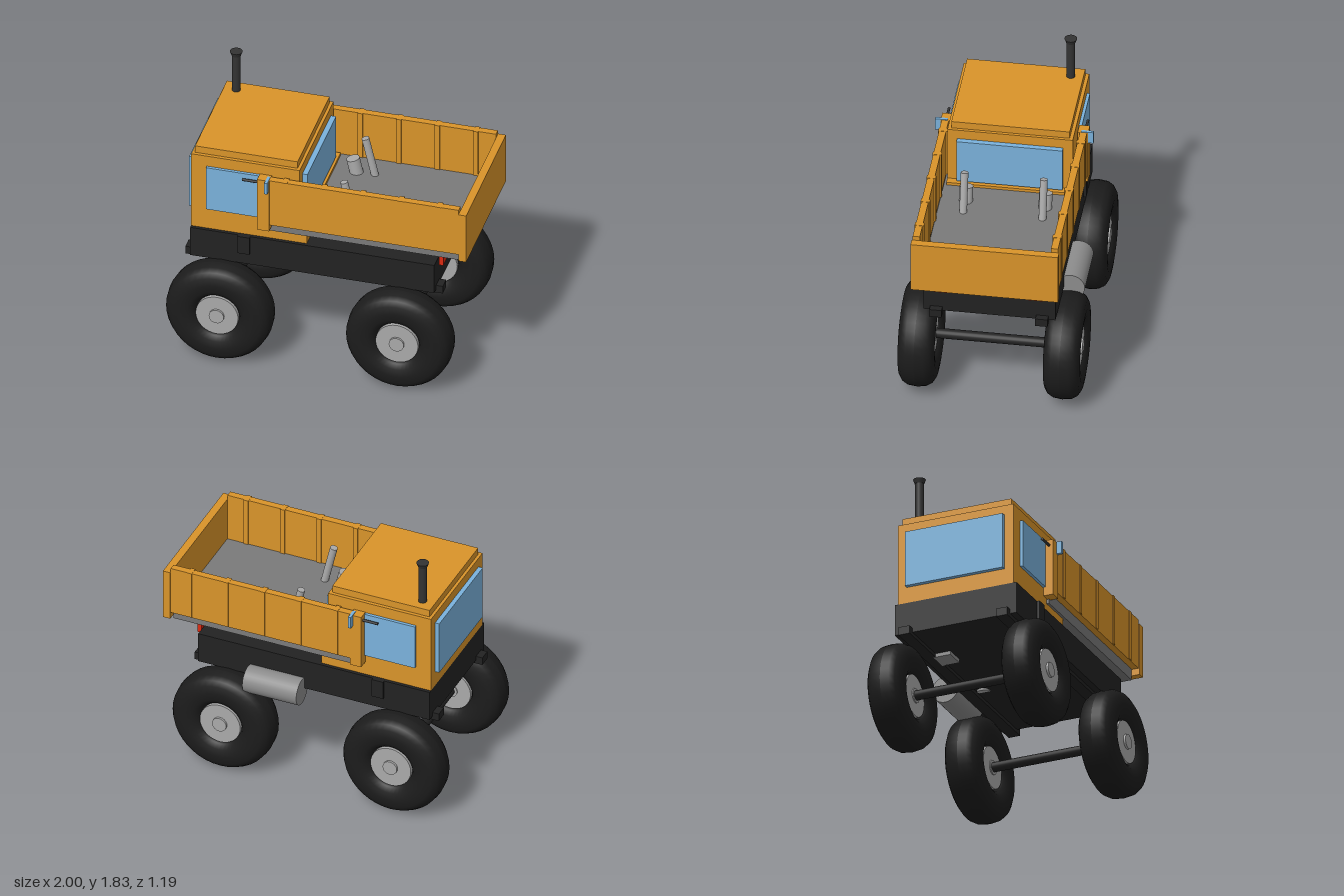
import * as THREE from 'three';

const mat = (color) => new THREE.MeshStandardMaterial({ color });
const orange = mat(0xd9942a), black = mat(0x222222), glass = mat(0x7ab2dc), red = mat(0xdd2a10);
const steel = mat(0xaaaaaa), floorGrey = mat(0x7a7a7a), tankGrey = mat(0x8c8c8c), pipe = mat(0x333333);
const tyreBlack = mat(0x1c1c1c);

export function createModel() {
  const model = new THREE.Group();
  model.name = 'dumpTruck';

  const add = (name, geometry, material) => {
    const mesh = new THREE.Mesh(geometry, material);
    mesh.name = name;
    model.add(mesh);
    return mesh;
  };
  // Box given by its limits on each axis
  const box = (name, material, x0, x1, y0, y1, z0, z1) => {
    const mesh = add(name, new THREE.BoxGeometry(x1 - x0, y1 - y0, z1 - z0), material);
    mesh.position.set((x0 + x1) / 2, (y0 + y1) / 2, (z0 + z1) / 2);
    return mesh;
  };
  // The same box on both sides of the truck
  const pair = (name, material, x0, x1, y0, y1, z0, z1) => {
    box(name, material, x0, x1, y0, y1, z0, z1);
    box(name, material, x0, x1, y0, y1, -z1, -z0);
  };
  // Cylinder running between two points
  const rod = (name, material, a, b, r, sides = 24, rEnd = r) => {
    const from = new THREE.Vector3(...a), to = new THREE.Vector3(...b);
    const axis = to.clone().sub(from);
    const mesh = add(name, new THREE.CylinderGeometry(rEnd, r, axis.length(), sides), material);
    mesh.position.copy(from).add(to).multiplyScalar(0.5);
    mesh.quaternion.setFromUnitVectors(new THREE.Vector3(0, 1, 0), axis.normalize());
    return mesh;
  };

  // Chassis, rails and side brackets
  box('chassis', black, -0.86, 0.77, 0.705, 0.92, -0.43, 0.43);
  pair('chassisRail', black, -0.905, 0.815, 0.68, 0.735, 0.305, 0.385);
  pair('sideBracket', black, -0.54, -0.46, 0.79, 0.92, 0.42, 0.448);
  pair('underPlate', tankGrey, -0.5, -0.36, 0.68, 0.71, 0.2, 0.32);
  pair('tailLight', red, 0.78, 0.81, 0.877, 0.96, 0.25, 0.355);

  // Cab
  box('cabLower', orange, -0.86, -0.087, 0.92, 1.09, -0.408, 0.408);
  box('cabUpper', orange, -0.86, -0.135, 1.09, 1.48, -0.408, 0.408);
  box('roof', orange, -0.84, -0.155, 1.48, 1.53, -0.385, 0.385);
  box('windshield', glass, -0.89, -0.86, 1.03, 1.413, -0.345, 0.345);
  box('rearWindow', glass, -0.135, -0.1, 1.1, 1.413, -0.345, 0.345);
  pair('sideWindow', glass, -0.755, -0.39, 1.08, 1.403, 0.4, 0.428);

  // Exhaust stack with flared tip
  rod('exhaust', pipe, [-0.755, 1.5, -0.303], [-0.755, 1.8, -0.303], 0.028);
  rod('exhaustTip', pipe, [-0.755, 1.8, -0.303], [-0.755, 1.83, -0.303], 0.03, 24, 0.041);

  // Dump bed
  box('bedFloor', floorGrey, -0.34, 0.945, 0.99, 1.07, -0.425, 0.425);
  pair('bedSide', orange, -0.34, 0.945, 1.065, 1.41, 0.427, 0.473);
  for (let i = 0; i < 5; i++) {
    const x = -0.217 + i * 0.257;
    pair('bedRib', orange, x - 0.016, x + 0.016, 1.07, 1.412, 0.418, 0.478);
  }
  box('tailgate', orange, 0.945, 0.997, 1.02, 1.38, -0.48, 0.48);
  pair('bedFrontPost', orange, -0.4, -0.32, 1.02, 1.41, 0.412, 0.48);

  for (const s of [-1, 1]) {
    // Mirrors
    box('mirror', glass, -0.342, -0.322, 1.33, 1.415, s * 0.475 - 0.04, s * 0.475 + 0.04);
    rod('mirrorArm', pipe, [-0.505, 1.372, s * 0.452], [-0.34, 1.372, s * 0.452], 0.009, 12);

    // Slanted lifting rams passing through the bed floor
    const z = s * 0.258;
    rod('ramCylinder', steel, [0.145, 0.7, z], [0.037, 1.17, z], 0.044);
    rod('ramRod', steel, [0.265, 0.72, z], [0.12, 1.34, z], 0.025, 16);
  }

  // Fuel tank on the right-hand side
  rod('fuelTank', tankGrey, [0.02, 0.706, -0.474], [0.4, 0.706, -0.474], 0.092, 32);

  // Wheels: rounded tyre section revolved about the axle
  const section = [];
  for (let i = 0; i <= 16; i++) {
    const a = -i / 16 * Math.PI * 2;
    const c = Math.cos(a), n = Math.sin(a);
    section.push(new THREE.Vector2(
      0.243 + 0.112 * Math.sign(c) * Math.abs(c) ** 0.8,
      -0.12 * Math.sign(n) * Math.abs(n) ** 0.75));
  }
  // Counter-clockwise section gives outward faces
  const tyreGeometry = new THREE.LatheGeometry(section.reverse(), 40);
  tyreGeometry.rotateX(Math.PI / 2);
  const tyreMaterial = tyreBlack.clone();
  tyreMaterial.side = THREE.DoubleSide;
  for (const x of [-0.645, 0.557]) {
    rod('axle', black, [x, 0.36, -0.45], [x, 0.36, 0.45], 0.033, 20);
    for (const s of [-1, 1]) {
      add('tyre', tyreGeometry, tyreMaterial).position.set(x, 0.36, s * 0.473);
      rod('rim', steel, [x, 0.36, s * 0.383], [x, 0.36, s * 0.565], 0.142, 32);
      rod('hubCap', steel, [x, 0.36, s * 0.375], [x, 0.36, s * 0.58], 0.05, 20);
    }
  }

  return model;
}
